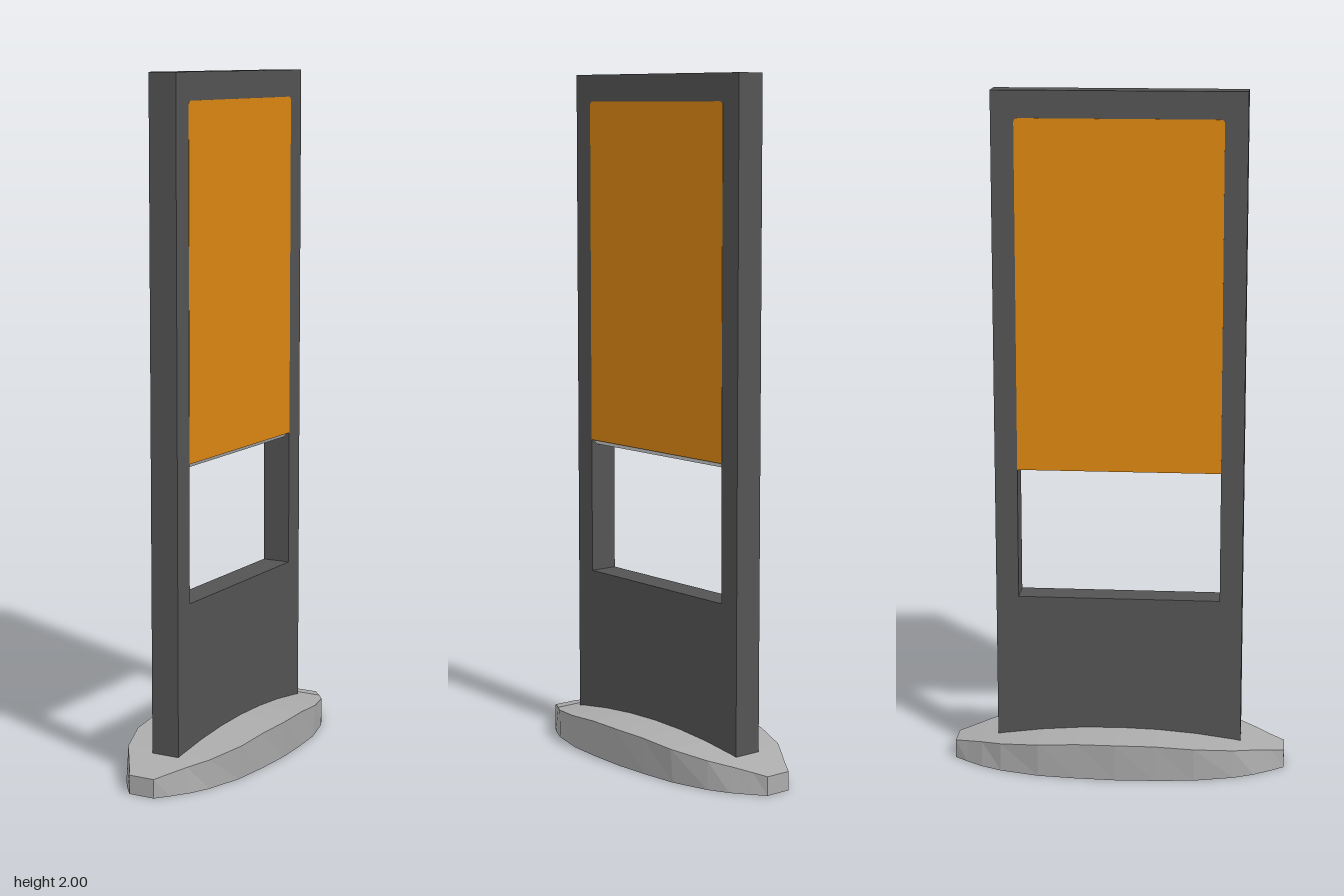
import * as THREE from 'three';

const mat = (name, color) => Object.assign(new THREE.MeshStandardMaterial({ color }), { name });

const T = 0.043; // half thickness of the upright

function rect(z0, y0, z1, y1, Type = THREE.Shape) {
  const s = new Type();
  s.moveTo(z0, y0);
  s.lineTo(z1, y0);
  s.lineTo(z1, y1);
  s.lineTo(z0, y1);
  s.closePath();
  return s;
}

// Panel outline with slightly rounded top corners
function panelShape(w, y0, y1, r) {
  const s = new THREE.Shape();
  s.moveTo(-w, y0);
  s.lineTo(w, y0);
  s.lineTo(w, y1 - r);
  s.quadraticCurveTo(w, y1, w - r, y1);
  s.lineTo(-w + r, y1);
  s.quadraticCurveTo(-w, y1, -w, y1 - r);
  s.closePath();
  return s;
}

// Extrudes a (z, y) shape along x so that its outer side lies at xMax
function extrudeX(shape, depth, xMax) {
  const g = new THREE.ExtrudeGeometry(shape, { depth, bevelEnabled: false, curveSegments: 4 });
  return g.rotateY(-Math.PI / 2).translate(xMax, 0, 0);
}

// Arched, boat-shaped foot lofted along z
function baseGeometry() {
  // z, half width at bottom, half width at top, top height
  const half = [
    [0.493, 0.04, 0.04, 0.055], [0.455, 0.07, 0.063, 0.063], [0.405, 0.105, 0.096, 0.074],
    [0.345, 0.134, 0.135, 0.085], [0.23, 0.165, 0.174, 0.1], [0.115, 0.176, 0.183, 0.109],
  ];
  const stations = [
    ...half.map(([z, ...r]) => [-z, ...r]),
    [0, 0.181, 0.191, 0.112],
    ...half.slice().reverse(),
  ];
  const pos = [];
  const idx = [];
  stations.forEach(([z, b, t, h]) => pos.push(-b, 0, z, b, 0, z, t, h, z, -t, h, z));
  const last = stations.length - 1;
  for (let i = 0; i < last; i++) {
    for (let j = 0; j < 4; j++) {
      const a = i * 4 + j, b = i * 4 + (j + 1) % 4;
      idx.push(a, b, b + 4, a, b + 4, a + 4);
    }
  }
  const e = last * 4;
  idx.push(e, e + 1, e + 2, e, e + 2, e + 3, 0, 2, 1, 0, 3, 2);
  const g = new THREE.BufferGeometry();
  g.setAttribute('position', new THREE.Float32BufferAttribute(pos, 3));
  g.setIndex(idx);
  const flat = g.toNonIndexed();
  flat.computeVertexNormals();
  return flat;
}

export function createModel() {
  const model = new THREE.Group();
  model.name = 'displayStand';
  const dark = mat('darkGrey', 0x545454);
  const grey = mat('lightGrey', 0xacacac);
  const orange = mat('orange', 0xdc8712);
  const white = mat('white', 0xf4f4f4);

  const add = (name, geometry, material) => {
    const m = new THREE.Mesh(geometry, material);
    m.name = name;
    model.add(m);
    return m;
  };

  add('base', baseGeometry(), grey);

  // Upright with the open window below the panel
  const outline = rect(-0.363, 0.04, 0.363, 2);
  outline.holes.push(rect(-0.297, 0.515, 0.297, 0.918, THREE.Path));
  add('frame', extrudeX(outline, 2 * T, T), dark);

  // Bar closing the panel's lower edge, chamfered on one side
  const bar = new THREE.Shape();
  bar.moveTo(-T, 0.902);
  bar.lineTo(0.022, 0.902);
  bar.lineTo(0.038, 0.918);
  bar.lineTo(-T, 0.918);
  bar.closePath();
  const barGeo = new THREE.ExtrudeGeometry(bar, { depth: 0.594, bevelEnabled: false });
  add('lowerBar', barGeo.translate(0, 0, -0.297), grey);

  // Light strip lying on the chamfer
  const strip = add('lightStrip', new THREE.BoxGeometry(0.022, 0.002, 0.594), white);
  strip.position.set(0.0305, 0.9095, 0);
  strip.rotation.z = Math.PI / 4;

  // Coloured faces on both sides
  add('panelRight', extrudeX(panelShape(0.297, 0.916, 1.922, 0.012), 0.002, T + 0.001), orange);
  add('panelLeft', extrudeX(panelShape(0.297, 0.902, 1.922, 0.012), 0.002, -T + 0.001), orange);

  return model;
}
